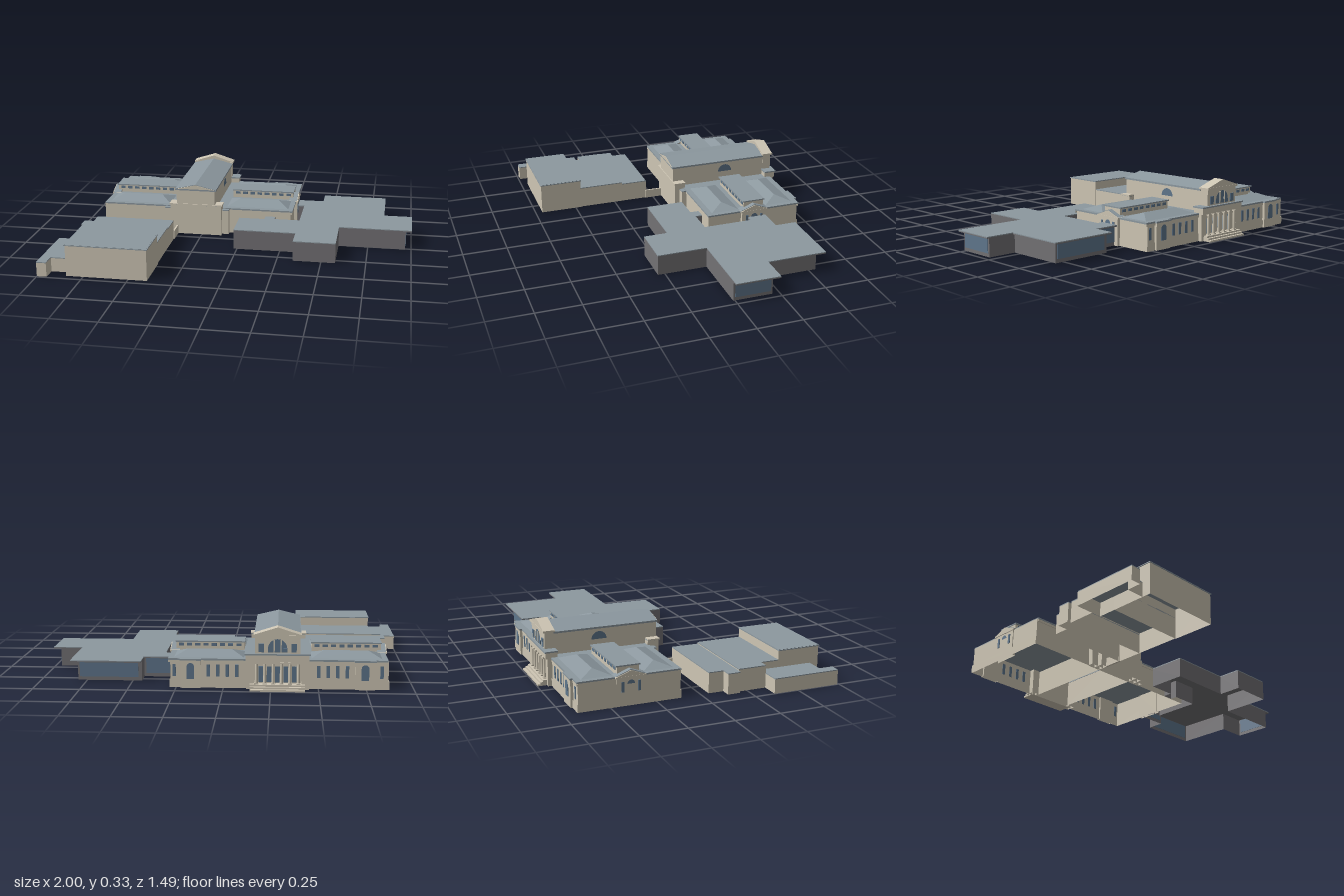
import * as THREE from 'three';

const mat = (name, color, side = THREE.DoubleSide) => {
  const m = new THREE.MeshStandardMaterial({ color, side });
  m.name = name;
  return m;
};

export function createModel() {
  const root = new THREE.Group();
  root.name = 'museum';
  const stone = mat('stone', 0xcec6b4);
  const roof = mat('roofMetal', 0x8c989f);
  const dark = mat('darkCladding', 0x737174);
  const glass = mat('glass', 0x5f768c);
  const CX = -0.285; // axis of the main building

  const add = (name, geo, m, parent = root) => {
    const mesh = new THREE.Mesh(geo, m);
    mesh.name = name;
    parent.add(mesh);
    return mesh;
  };
  const rect = (x0, x1, z0, z1) => [[x0, z0], [x1, z0], [x1, z1], [x0, z1]];

  // Plan outline [x, z] raised from y0 to y1
  const slabGeo = (pts, y0, y1) => {
    const shape = new THREE.Shape(pts.map(([x, z]) => new THREE.Vector2(x, -z)));
    return new THREE.ExtrudeGeometry(shape, { depth: y1 - y0, bevelEnabled: false })
      .rotateX(-Math.PI / 2).translate(0, y0, 0);
  };
  const slab = (name, pts, y0, y1, m) => add(name, slabGeo(pts, y0, y1), m);

  // Walls only, open at the top and bottom
  const walls = (name, pts, y0, y1, m = stone) => {
    const src = slabGeo(pts, y0, y1);
    const { start, count } = src.groups[1];
    const geo = new THREE.BufferGeometry();
    for (const key of ['position', 'normal']) {
      geo.setAttribute(key, new THREE.BufferAttribute(
        src.attributes[key].array.slice(start * 3, (start + count) * 3), 3));
    }
    return add(name, geo, m);
  };
  const box = (name, x0, x1, y0, y1, z0, z1, m = stone) => add(name,
    new THREE.BoxGeometry(x1 - x0, y1 - y0, z1 - z0)
      .translate((x0 + x1) / 2, (y0 + y1) / 2, (z0 + z1) / 2), m);

  // Walls with a flat roof plate
  const block = (name, pts, h) => {
    walls(name + 'Walls', pts, 0, h - 0.005);
    slab(name + 'Roof', pts, h - 0.005, h, roof);
  };

  // Triangular prism along z, or along x when turned
  const gable = (name, c, half, y0, y1, a, b, m, alongX = false) => {
    const s = new THREE.Shape([new THREE.Vector2(-half, y0), new THREE.Vector2(half, y0),
      new THREE.Vector2(0, y1)]);
    const g = new THREE.ExtrudeGeometry(s, { depth: b - a, bevelEnabled: false });
    if (alongX) g.rotateY(Math.PI / 2).translate(a, 0, c);
    else g.translate(c, 0, a);
    return add(name, g, m);
  };

  // Hip roof with its ridge along x
  const hip = (name, x0, x1, z0, z1, y0, y1, inset) => {
    const w = x1 - x0;
    const g = new THREE.BoxGeometry(w, y1 - y0, z1 - z0).toNonIndexed();
    const p = g.attributes.position;
    for (let i = 0; i < p.count; i++) {
      if (p.getY(i) > 0) {
        p.setX(i, Math.sign(p.getX(i)) * (w / 2 - inset));
        p.setZ(i, Math.sign(p.getZ(i)) * 0.001);
      }
    }
    g.computeVertexNormals();
    g.translate((x0 + x1) / 2, (y0 + y1) / 2, (z0 + z1) / 2);
    add(name, g, roof);
  };

  // Half-round window plate facing z, turned by angle
  const lunette = (name, r, x, y, z, angle) => {
    const mesh = add(name, new THREE.CircleGeometry(r, 20, 0, Math.PI), glass);
    mesh.position.set(x, y, z);
    mesh.rotation.y = angle;
  };

  // Modern wing
  const wingRoof = [[0.285, -0.46], [0.45, -0.46], [0.45, -0.58], [0.835, -0.58], [0.835, -0.24],
    [1, -0.24], [1, 0.01], [0.58, 0.01], [0.58, 0.29], [0.34, 0.29], [0.34, 0.155], [-0.02, 0.155],
    [-0.02, -0.06], [0.13, -0.06], [0.13, -0.11], [0.19, -0.11], [0.19, -0.07], [0.34, -0.07],
    [0.34, -0.35], [0.285, -0.35]];
  const inset = { 1: 0.965, 0.835: 0.8, '-0.58': -0.54, '-0.24': -0.21, '-0.46': -0.44 };
  const wingWalls = wingRoof.map((p) => p.map((v) => inset[v] ?? v));
  walls('wingWalls', wingWalls, 0, 0.108, dark);
  slab('wingSoffit', wingRoof, 0.107, 0.112, dark);
  slab('wingRoof', wingRoof, 0.112, 0.117, roof);
  box('wingSideWindow', 0.963, 0.968, 0.02, 0.105, -0.2, 0, glass);
  box('wingBackWindow', 0.47, 0.79, 0.02, 0.105, -0.543, -0.538, glass);
  box('wingLinkWindow', 0.3, 0.44, 0.02, 0.105, -0.443, -0.438, glass);

  // Front annex
  block('annexHall', rect(-0.845, -0.395, 0.465, 0.71), 0.18);
  block('annexMiddle', [[-0.9, 0.2], [-0.4, 0.2], [-0.4, 0.465], [-0.845, 0.465], [-0.845, 0.36],
    [-0.9, 0.36]], 0.125);
  block('annexRear', [[-0.865, 0.045], [-0.4, 0.045], [-0.4, 0.2], [-0.92, 0.2], [-0.92, 0.13],
    [-0.865, 0.13]], 0.115);
  block('annexLow', [[-1, 0.36], [-0.845, 0.36], [-0.845, 0.66], [-0.945, 0.66], [-0.945, 0.74],
    [-1, 0.74]], 0.083);
  slab('annexHallEave', rect(-0.85, -0.39, 0.463, 0.714), 0.174, 0.179, roof);
  box('linkWall', -0.405, -0.395, 0, 0.05, -0.055, 0.05);

  // Main building shell, plinth and cornice
  walls('mainWalls', rect(-0.865, 0.28, -0.67, -0.115), 0, 0.15);
  walls('plinth', rect(-0.87, 0.285, -0.675, -0.112), 0, 0.043);

  for (const s of [-1, 1]) {
    // Helper for spans measured outward from the axis
    const span = (a, b) => (s > 0 ? [CX + a, CX + b] : [CX - b, CX - a]);
    const [r0, r1] = span(0.115, 0.577);
    slab('galleryRoof', rect(r0, r1, -0.675, -0.11), 0.148, 0.157, roof);
    const [c0, c1] = span(0.155, 0.575);
    for (const z of [[-0.674, -0.67], [-0.115, -0.111]]) box('cornice', c0, c1, 0.135, 0.148, ...z);

    // Hip skylight roofs and the clerestory between them
    const [h0, h1] = span(0.175, 0.55);
    hip('rearHipRoof', h0, h1, -0.645, -0.475, 0.156, 0.186, 0.07);
    hip('frontHipRoof', h0, h1, -0.31, -0.14, 0.156, 0.186, 0.07);
    const [l0, l1] = span(0.183, 0.556);
    box('clerestory', l0, l1, 0.156, 0.201, -0.455, -0.335);
    box('clerestoryRoof', l0 - 0.004, l1 + 0.004, 0.201, 0.208, -0.462, -0.328, roof);
    for (let i = 0; i < 8; i++) {
      const x = l0 + 0.03 + i * 0.045;
      for (const z of [-0.456, -0.334]) {
        box('clerestoryWindow', x - 0.014, x + 0.014, 0.18, 0.195, z - 0.002, z + 0.002, glass);
      }
    }

    // End pavilion with pediment
    const [e0, e1] = span(0.56, 0.585);
    walls('endPavilion', rect(e0, e1, -0.465, -0.315), 0, 0.15);
    box('endCornice', e0 - 0.004, e1 + 0.004, 0.148, 0.157, -0.472, -0.308);
    const [p0, p1] = span(0.535, 0.588);
    gable('endPediment', -0.39, 0.08, 0.157, 0.187, p0, p1, stone, true);
    gable('endPedimentRoof', -0.39, 0.083, 0.159, 0.191, ...span(0.535, 0.583), roof, true);
    const endX = CX + s * 0.587;
    lunette('endLunette', 0.02, endX, 0.117, -0.39, s * Math.PI / 2);
    for (const z of [-0.435, -0.345]) {
      box('endWindow', endX - 0.002, endX + 0.002, 0.075, 0.13, z - 0.007, z + 0.007, glass);
    }

    // Projecting bay and windows of the rear facade
    const [b0, b1] = span(0.405, 0.51);
    walls('rearBay', rect(b0, b1, -0.685, -0.66), 0, 0.15);
    slab('rearBayRoof', rect(b0 - 0.004, b1 + 0.004, -0.689, -0.66), 0.148, 0.157, roof);
    const bx = (b0 + b1) / 2;
    box('rearBayWindow', bx - 0.02, bx + 0.02, 0.05, 0.115, -0.688, -0.684, glass);
    lunette('rearBayArch', 0.02, bx, 0.115, -0.688, Math.PI);
    for (const d of [0.215, 0.265, 0.315, 0.365, 0.545]) {
      const x = CX + s * d;
      box('rearWindow', x - 0.009, x + 0.009, 0.06, 0.125, -0.673, -0.668, glass);
    }

    // Half-round windows high on the nave
    lunette('naveLunette', 0.043, CX + s * 0.119, 0.215, -0.39, s * Math.PI / 2);

    // Solid flank of the portico
    const [f0, f1] = span(0.125, 0.165);
    walls('porticoFlank', rect(f0, f1, -0.695, -0.64), 0, 0.15);
  }

  // Central nave
  walls('naveWalls', rect(CX - 0.116, CX + 0.116, -0.645, -0.055), 0, 0.278);
  box('naveEave', CX - 0.124, CX + 0.124, 0.274, 0.284, -0.645, -0.05, roof);
  gable('naveRoof', CX, 0.122, 0.284, 0.313, -0.645, -0.05, roof);
  gable('naveFrontGable', CX, 0.115, 0.284, 0.309, -0.05, -0.047, stone);
  block('naveFrontBase', rect(-0.44, -0.13, -0.12, -0.055), 0.185);
  slab('naveFrontBaseEave', rect(-0.445, -0.125, -0.12, -0.05), 0.182, 0.19, stone);
  block('naveFrontStep', rect(-0.483, -0.09, -0.12, -0.085), 0.152);

  // Rear portico: steps, columns, entablature, attic and pediment
  for (let i = 0; i < 3; i++) {
    box('step', CX - 0.145, CX + 0.145, 0, 0.01 + i * 0.01, -0.745 + i * 0.014, -0.665);
  }
  box('porticoWall', CX - 0.13, CX + 0.13, 0.03, 0.15, -0.675, -0.67);
  for (let i = 0; i < 6; i++) {
    const x = CX - 0.11 + i * 0.044;
    add('column', new THREE.CylinderGeometry(0.007, 0.0085, 0.115, 12)
      .translate(x, 0.0875, -0.697), stone);
    box('columnBase', x - 0.011, x + 0.011, 0.03, 0.036, -0.708, -0.686);
    box('columnCapital', x - 0.011, x + 0.011, 0.14, 0.15, -0.708, -0.686);
    if (i < 5) box('porticoWindow', x + 0.01, x + 0.034, 0.035, 0.12, -0.678, -0.674, glass);
  }
  box('entablature', CX - 0.166, CX + 0.166, 0.15, 0.185, -0.705, -0.64);
  box('entablatureRoof', CX - 0.172, CX + 0.172, 0.185, 0.193, -0.711, -0.638, roof);
  box('attic', CX - 0.118, CX + 0.118, 0.193, 0.283, -0.695, -0.643);
  box('atticCornice', CX - 0.126, CX + 0.126, 0.283, 0.293, -0.705, -0.638);
  gable('atticPediment', CX, 0.126, 0.293, 0.333, -0.703, -0.64, stone);
  lunette('atticArch', 0.05, CX, 0.22, -0.698, Math.PI);
  for (const d of [-0.085, 0, 0.085]) {
    const w = d ? 0.014 : 0.05;
    box('atticWindow', CX + d - w, CX + d + w, 0.2, d ? 0.245 : 0.22, -0.699, -0.694, glass);
  }
  for (const d of [-0.018, 0.018]) {
    box('atticMullion', CX + d - 0.003, CX + d + 0.003, 0.2, 0.266, -0.702, -0.695);
  }
  return root;
}
